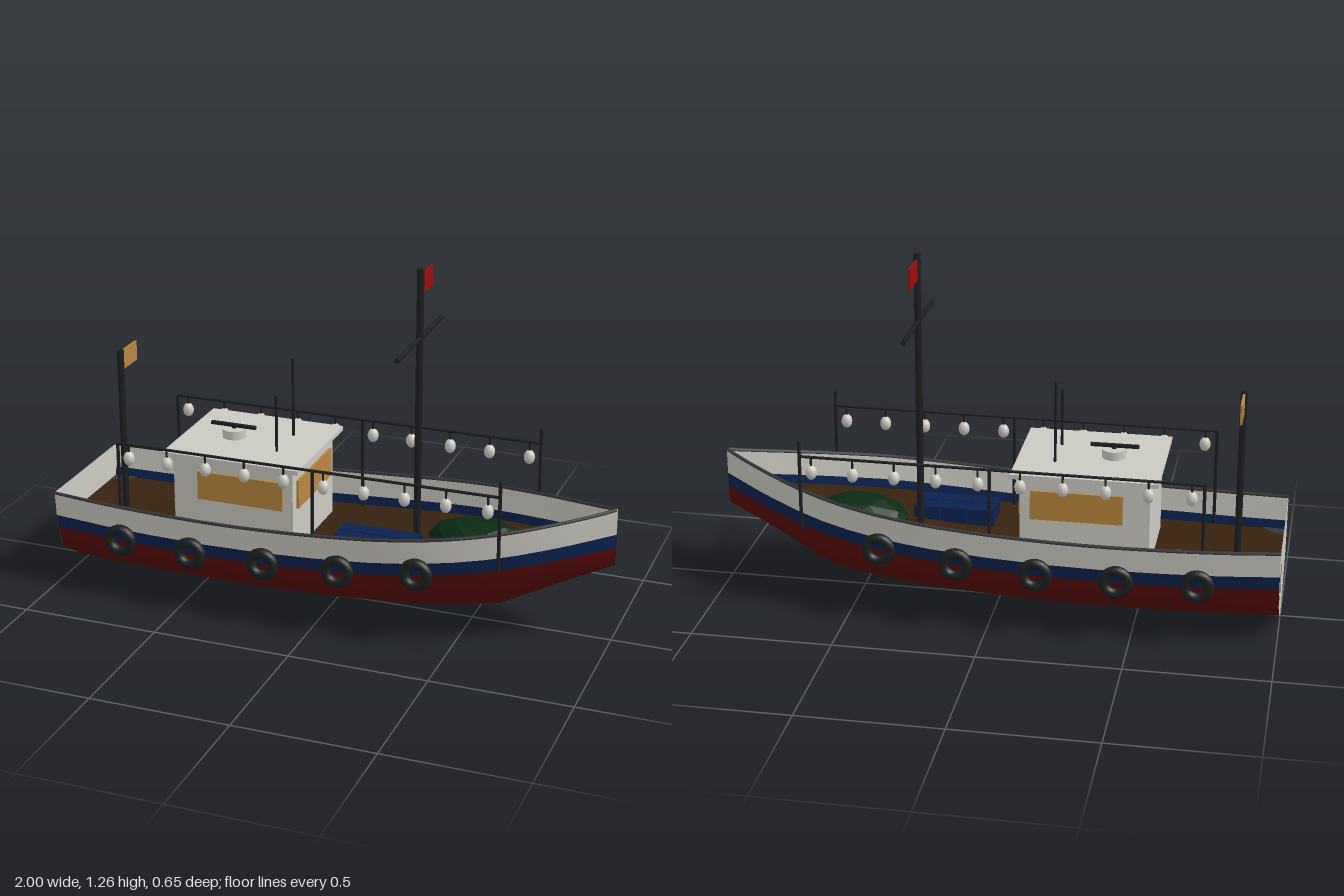
import * as THREE from 'three';

const paint = (name, color, side = THREE.FrontSide) => {
  const m = new THREE.MeshStandardMaterial({ color, side });
  m.name = name;
  return m;
};

// Stations along the hull: x, half width, keel height, sheer height
const STATIONS = [
  [-1, 0.25, 0.01, 0.355], [-0.8, 0.267, 0.006, 0.35], [-0.6, 0.28, 0.003, 0.349],
  [-0.4, 0.288, 0.003, 0.35], [-0.2, 0.293, 0.006, 0.356], [0, 0.295, 0.014, 0.367],
  [0.2, 0.289, 0.025, 0.381], [0.3, 0.28, 0.033, 0.39], [0.4, 0.266, 0.044, 0.4],
  [0.5, 0.243, 0.058, 0.411], [0.6, 0.21, 0.076, 0.423], [0.7, 0.168, 0.13, 0.438],
  [0.8, 0.117, 0.184, 0.455], [0.86, 0.084, 0.216, 0.466], [0.94, 0.037, 0.258, 0.482],
  [1, 0.003, 0.29, 0.495],
];
const DECK_DROP = 0.125;

function stationAt(x) {
  const i = Math.max(1, STATIONS.findIndex((s) => s[0] >= x));
  const a = STATIONS[i - 1], b = STATIONS[i], t = (x - a[0]) / (b[0] - a[0]);
  return a.map((v, k) => v + (b[k] - v) * t);
}

// Half section from keel to sheer as [z, y]
function section([, w, keel, sheer]) {
  const low = sheer - 0.14, h = low - keel;
  return [[0, keel], [0.37 * w, keel + 0.18 * h], [0.83 * w, keel + 0.6 * h],
    [0.94 * w, low], [0.97 * w, sheer - 0.092], [w, sheer]];
}

// Surface through equal rows of points
function skin(rows) {
  const n = rows[0].length, index = [];
  for (let i = 0; i < rows.length - 1; i++) {
    for (let j = 0; j < n - 1; j++) {
      const a = i * n + j, b = a + n;
      index.push(a, b, a + 1, a + 1, b, b + 1);
    }
  }
  const g = new THREE.BufferGeometry();
  g.setAttribute('position', new THREE.Float32BufferAttribute(rows.flat(2), 3));
  g.setIndex(index);
  g.computeVertexNormals();
  return g;
}

export function createModel() {
  const D = THREE.DoubleSide;
  const white = paint('white paint', 0xcbcac2, D);
  const red = paint('hull red', 0x5a0a0a, D);
  const blue = paint('blue paint', 0x0c2250, D);
  const dark = paint('dark metal', 0x1d1e20);
  const rail = paint('rail grey', 0x37383a, D);
  const brown = paint('deck wood', 0x38220f, D);
  const tan = paint('amber', 0xba8640);
  const rope = paint('rope', 0x8f6426);
  const green = paint('net green', 0x0a2a12);
  const flagRed = paint('flag red', 0x9c0c0c);

  const model = new THREE.Group();
  model.name = 'fishingBoat';
  const add = (name, geo, mat, x = 0, y = 0, z = 0) => {
    const m = new THREE.Mesh(geo, mat);
    m.name = name;
    m.position.set(x, y, z);
    model.add(m);
    return m;
  };
  const box = (name, mat, w, h, d, x, y, z) => add(name, new THREE.BoxGeometry(w, h, d), mat, x, y, z);
  const pole = (name, mat, r, y0, y1, x, z) =>
    add(name, new THREE.CylinderGeometry(r, r, y1 - y0, 10), mat, x, (y0 + y1) / 2, z);

  // Hull bottom, keel to waterline on both sides
  add('hullBottom', skin(STATIONS.map((s) => {
    const half = section(s).slice(0, 4);
    return [...half.slice(1).reverse().map(([z, y]) => [s[0], y, -z]), ...half.map(([z, y]) => [s[0], y, z])];
  })), red);

  // Blue stripe, bulwark and gunwale rail on each side
  for (const side of [1, -1]) {
    const band = (i) => skin(STATIONS.map((s) => section(s).slice(i, i + 2).map(([z, y]) => [s[0], y, z * side])));
    add('blueStripe', band(3), blue);
    add('bulwark', band(4), white);
    const path = new THREE.CatmullRomCurve3(STATIONS.map(([x, w, , y]) => new THREE.Vector3(Math.min(x, 0.995), y - 0.002, w * side)));
    add('gunwale', new THREE.TubeGeometry(path, 60, 0.0065, 6), rail);
  }

  // Transom with dark corner panels
  const stern = section(STATIONS[0]);
  const outline = [...stern, ...stern.slice(1).reverse().map(([z, y]) => [-z, y])];
  const transom = new THREE.Shape(outline.map(([z, y]) => new THREE.Vector2(z, y)));
  add('transom', new THREE.ShapeGeometry(transom), white, -1).rotation.y = -Math.PI / 2;
  for (const side of [1, -1]) {
    const corner = new THREE.Shape(stern.slice(2).map(([z, y]) => new THREE.Vector2(z * side, y)));
    corner.quadraticCurveTo(0.145 * side, 0.24, stern[2][0] * side, stern[2][1]);
    add('transomCorner', new THREE.ShapeGeometry(corner), rail, -1.002).rotation.y = -Math.PI / 2;
  }

  // Deck following the sheer, with a small grey foredeck and stern corners
  const deckRows = (list) => skin(list.map(([x, w, , y]) => [[x, y - DECK_DROP, 0.95 * w], [x, y - DECK_DROP, -0.95 * w]]));
  add('deck', deckRows(STATIONS.slice(0, 14)), brown);
  add('foredeck', deckRows(STATIONS.slice(13)), rail);
  for (const side of [1, -1]) {
    const corner = new THREE.Shape([[-1, 0.19], [-0.95, 0.205], [-0.91, 0.245], [-1, 0.238]].map(([x, z]) => new THREE.Vector2(x, z * side)));
    add('sternCorner', new THREE.ShapeGeometry(corner), rail, 0, 0.356 - DECK_DROP, 0).rotation.x = Math.PI / 2;
  }

  // Wheelhouse with windows and roof
  box('cabin', white, 0.45, 0.33, 0.39, -0.325, 0.385, 0);
  box('roof', white, 0.51, 0.016, 0.45, -0.325, 0.556, 0);
  for (const side of [1, -1]) box('sideWindow', tan, 0.32, 0.105, 0.009, -0.297, 0.447, side * 0.199);
  box('frontWindow', tan, 0.009, 0.105, 0.32, -0.096, 0.447, 0);

  // Radar and antennas on the roof
  add('radarBase', new THREE.CylinderGeometry(0.042, 0.042, 0.032, 24), white, -0.4, 0.579, 0);
  box('radarBar', dark, 0.17, 0.01, 0.016, -0.402, 0.606, 0);
  pole('radarPin', dark, 0.008, 0.59, 0.605, -0.4, 0);
  pole('antenna', dark, 0.005, 0.56, 0.855, -0.205, -0.08);
  pole('antenna', dark, 0.005, 0.56, 0.772, -0.205, 0.08);

  // Masts, crossbar and flags
  pole('mainMast', dark, 0.0125, 0.255, 1.262, 0.29, 0);
  const crossbar = add('crossbar', new THREE.CylinderGeometry(0.009, 0.009, 0.478, 10), dark, 0.29, 1.017, 0);
  crossbar.rotation.x = Math.PI / 2;
  pole('sternMast', dark, 0.0125, 0.225, 0.835, -0.84, 0);
  box('mainFlag', flagRed, 0.008, 0.072, 0.115, 0.29, 1.206, -0.068);
  box('sternFlag', tan, 0.008, 0.072, 0.115, -0.84, 0.793, -0.068);

  // Light strings: posts, wire and hanging bulbs
  const bulb = new THREE.SphereGeometry(0.02, 14, 10).scale(1, 1.3, 1);
  for (const side of [1, -1]) {
    const z = side * 0.253;
    for (const [x, top] of [[-0.737, 0.585], [-0.005, 0.59], [0.66, 0.645]]) {
      pole('lightPost', dark, 0.006, stationAt(x)[3] - 0.12, top, x, z);
    }
    const wire = new THREE.LineCurve3(new THREE.Vector3(-0.737, 0.585, z), new THREE.Vector3(0.66, 0.59, z));
    add('lightWire', new THREE.TubeGeometry(wire, 1, 0.005, 6), dark);
    for (let i = 0; i < 10; i++) {
      const x = -0.695 + i * 0.146;
      add('bulb', bulb, white, x, 0.533, z);
      pole('bulbCord', dark, 0.004, 0.555, 0.588, x, z);
    }
  }

  // Tyre fenders along both sides
  const tyre = new THREE.TorusGeometry(0.042, 0.018, 10, 24);
  for (const x of [-0.725, -0.45, -0.172, 0.105, 0.38]) {
    const [, w, , sheer] = stationAt(x);
    for (const side of [1, -1]) add('tyreFender', tyre, dark, x, sheer - 0.124, side * (w + 0.014));
  }

  // Fish crates, three by two
  for (let i = 0; i < 3; i++) {
    for (let j = 0; j < 2; j++) {
      box('crate', blue, 0.094, 0.06, 0.064, 0.08 + i * 0.098, 0.28, 0.065 + j * 0.068);
    }
  }

  // Heaped net, a lumpy mound
  const net = new THREE.IcosahedronGeometry(1, 1);
  const p = net.attributes.position;
  for (let i = 0; i < p.count; i++) {
    const k = 1 + 0.08 * Math.sin(5 * p.getX(i) + 3 * p.getZ(i));
    p.setXYZ(i, p.getX(i) * 0.172 * k, p.getY(i) * 0.075, p.getZ(i) * 0.122 * k);
  }
  net.computeVertexNormals();
  add('net', net, green, 0.508, 0.29, -0.027);

  // Coiled rope on the aft deck
  for (let i = 0; i < 3; i++) {
    add('ropeCoil', new THREE.TorusGeometry(0.044 - i * 0.004, 0.009, 8, 24), rope, -0.645, 0.23 + i * 0.014, -0.12).rotation.x = Math.PI / 2;
  }

  return model;
}
